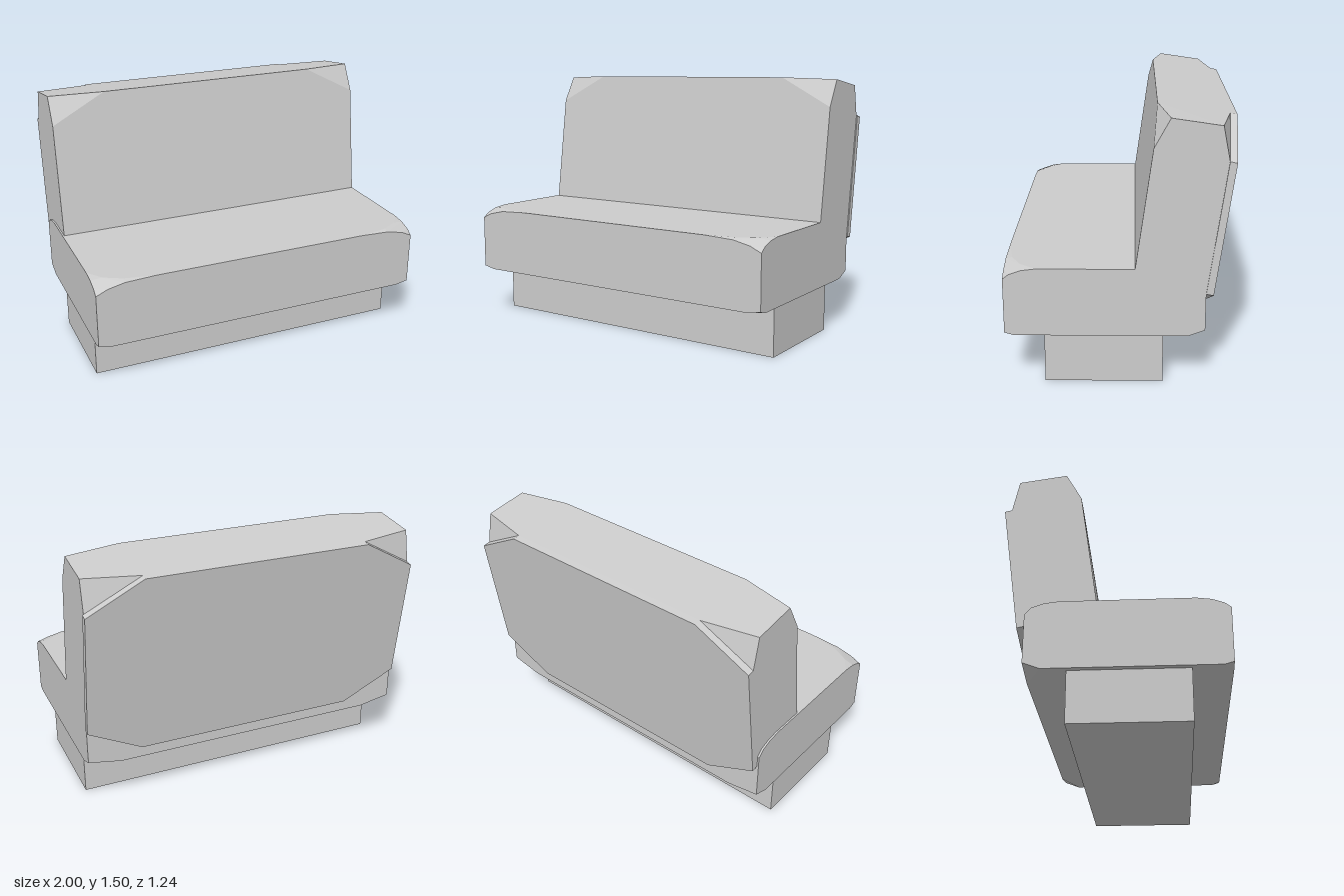
import * as THREE from 'three';
import { ConvexGeometry } from 'three/addons/geometries/ConvexGeometry.js';

// Convex block from the corner points of its +x half, mirrored about x = centre
function mirroredBlock(name, half, centre, material) {
  const points = half.flatMap(([x, y, z]) => [
    new THREE.Vector3(centre + x, y, z),
    new THREE.Vector3(centre - x, y, z),
  ]);
  const mesh = new THREE.Mesh(new ConvexGeometry(points), material);
  mesh.name = name;
  return mesh;
}

export function createModel() {
  const group = new THREE.Group();
  group.name = 'benchSeat';
  const grey = new THREE.MeshStandardMaterial({ color: 0xcccccc });
  grey.name = 'grey';

  // Plinth
  const base = new THREE.Mesh(new THREE.BoxGeometry(1.927, 0.292, 0.643), grey);
  base.name = 'base';
  base.position.set(-0.004, 0.146, 0.087);
  group.add(base);

  // Seat cushion: softened top corners, small chamfers underneath
  const w = 0.996;
  const seat = [];
  for (const [edge, dir] of [[0.62, 1], [-0.458, -1]]) {
    const drop = dir > 0 ? 0.615 : 0.602;
    seat.push(
      [w, drop, edge],
      [0.93, 0.645, edge], [0.83, 0.667, edge], [0.65, 0.675, edge],
      [w, 0.642, edge - dir * 0.035], [w, 0.665, edge - dir * 0.1], [w, 0.675, edge - dir * 0.18],
      [0.93, 0.675, edge - dir * 0.09], [0.83, 0.675, edge - dir * 0.035],
    );
  }
  seat.push(
    [0.92, 0.29, 0.62], [w, 0.305, 0.62], [w, 0.29, 0.57],
    [0.8, 0.29, -0.458], [w, 0.325, -0.458], [w, 0.29, -0.365],
  );
  group.add(mirroredBlock('seat', seat, -0.004, grey));

  // Leaning backrest with cut top corners
  const b = 0.991;
  group.add(mirroredBlock('backrest', [
    [0.67, 1.497, -0.196], [b, 1.487, -0.258], [b, 1.33, -0.172],
    [0.67, 1.44, -0.582], [b, 1.449, -0.52], [b, 1.265, -0.557],
    [b, 0.45, -0.05], [b, 0.45, -0.447],
  ], 0.001, grey));

  // Eight-sided panel on the rear of the backrest
  const p = 0.994;
  group.add(mirroredBlock('backPanel', [
    [0.67, 1.434, -0.621], [p, 1.257, -0.596], [p, 0.53, -0.497], [0.67, 0.358, -0.473],
    [0.67, 1.44, -0.582], [p, 1.265, -0.557], [p, 0.538, -0.458], [0.67, 0.364, -0.434],
  ], 0.004, grey));

  return group;
}
